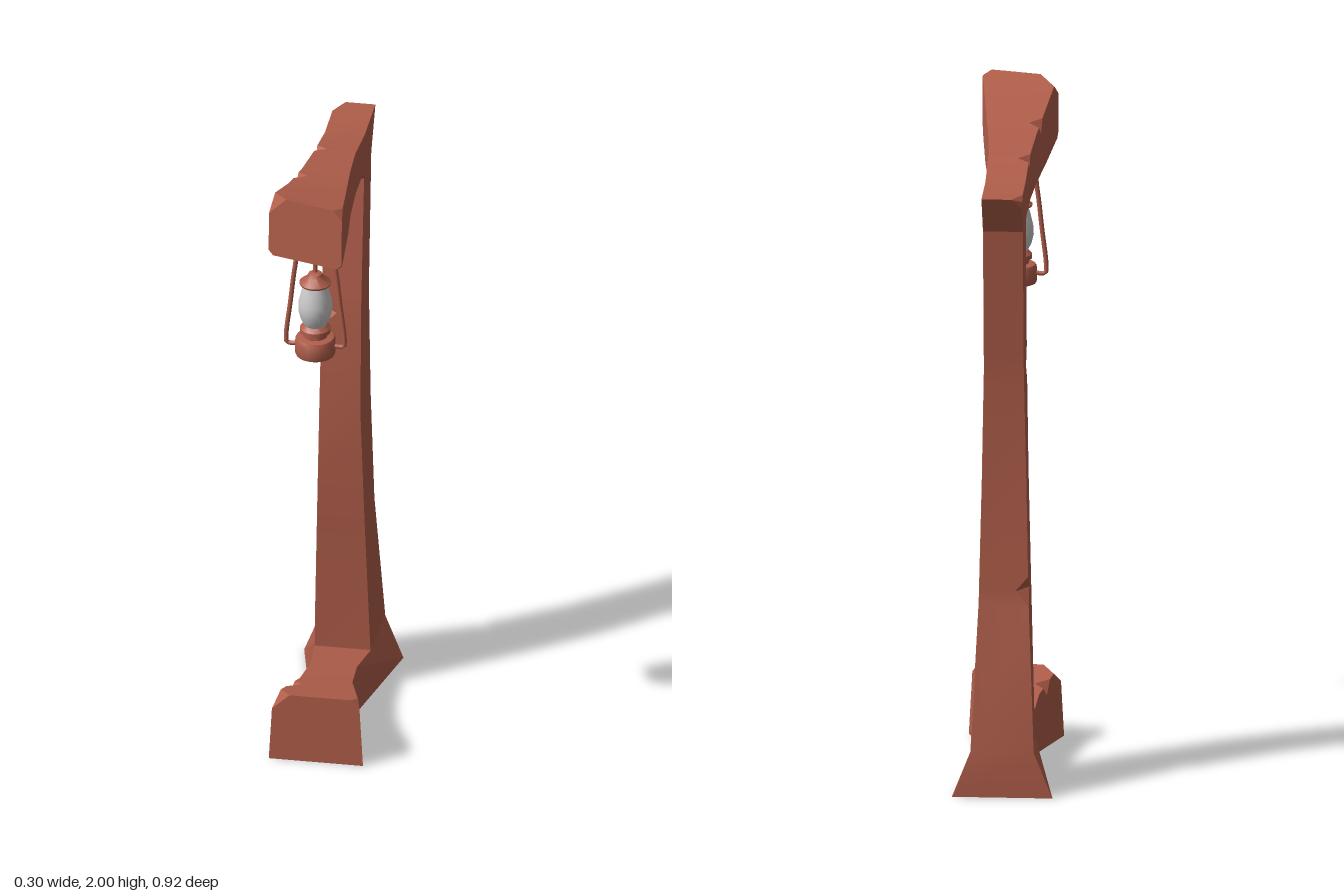
import * as THREE from 'three';
import { toCreasedNormals } from 'three/addons/utils/BufferGeometryUtils.js';

const wood = new THREE.MeshStandardMaterial({ color: 0xb05e4a });
const metal = new THREE.MeshStandardMaterial({ color: 0xb05e4a, side: THREE.DoubleSide });
const grey = new THREE.MeshStandardMaterial({ color: 0xcccccc });

// Cross-sections along the timber, foot tip -> post -> arm tip:
// inner z, y, half width, then outer z, y, half width
const sections = [
  [0.24, 0.22, 0.13, 0.24, 0, 0.142],
  [0.06, 0.18, 0.08, 0.06, 0, 0.078],
  [-0.08, 0.155, 0.07, -0.08, 0, 0.07],
  [-0.23, 0.13, 0.085, -0.43, 0, 0.15],
  [-0.23, 0.135, 0.085, -0.43, 0.14, 0.095],
  [-0.2, 0.6, 0.072, -0.355, 0.58, 0.075],
  [-0.185, 0.95, 0.063, -0.335, 0.95, 0.067],
  [-0.21, 1.28, 0.06, -0.345, 1.3, 0.06],
  [-0.265, 1.715, 0.06, -0.387, 1.74, 0.06],
  [-0.24, 1.745, 0.06, -0.46, 1.86, 0.06],
  [-0.22, 1.745, 0.06, -0.27, 1.86, 0.06],
  [-0.1, 1.755, 0.062, -0.1, 1.893, 0.062],
  [0.05, 1.765, 0.072, 0.05, 1.915, 0.072],
  [0.2, 1.78, 0.09, 0.2, 1.944, 0.088],
  [0.435, 1.81, 0.115, 0.42, 2, 0.115],
];

// Chips: position along the sections, reach, corner, depth
// (corners: 0 inner +x, 1 outer +x, 2 outer -x, 3 inner -x)
const chips = [
  [0, 0.3, 3, 0.05], [0, 0.15, 0, 0.025], [0.65, 0.16, 3, 0.035],
  [5.1, 0.12, 2, 0.04], [7, 0.14, 3, 0.045], [9, 0.3, 2, 0.03],
  [10.9, 0.16, 2, 0.035], [12.5, 0.2, 2, 0.035],
  [14, 0.3, 2, 0.055], [14, 0.15, 1, 0.03], [14, 0.1, 0, 0.015], [14, 0.1, 3, 0.015],
];

function ringAt(t) {
  const i = Math.min(Math.floor(t), sections.length - 2), f = t - i;
  const [zi, yi, wi, zo, yo, wo] = sections[i].map((v, k) => THREE.MathUtils.lerp(v, sections[i + 1][k], f));
  const skew = 0.27 * Math.max(0, t - 13); // slanted saw cut at the arm tip
  const corners = [[wi, yi, zi], [wo, yo, zo], [-wo, yo, zo], [-wi, yi, zi]]
    .map(([x, y, z]) => new THREE.Vector3(x, y, z + x * skew));
  const ring = [];
  corners.forEach((p, c) => {
    let cut = 0.001;
    for (const [ct, reach, corner, depth] of chips) {
      if (corner === c) cut = Math.max(cut, depth * (1 - Math.abs(t - ct) / reach));
    }
    for (const q of [corners[(c + 3) % 4], corners[(c + 1) % 4]]) {
      ring.push(p.clone().add(q.clone().sub(p).setLength(cut)));
    }
  });
  return ring;
}

function timberGeometry() {
  const stops = new Set(sections.map((_, i) => i));
  for (const [t, reach] of chips) [t - reach, t, t + reach].forEach((s) => stops.add(s));
  const rings = [...stops].filter((t) => t >= 0 && t <= sections.length - 1).sort((a, b) => a - b).map(ringAt);
  const n = 8, index = [], last = (rings.length - 1) * n;
  for (let r = 0; r < rings.length - 1; r++) {
    for (let j = 0; j < n; j++) {
      const a = r * n + j, b = r * n + (j + 1) % n;
      index.push(a, b, b + n, a, b + n, a + n);
    }
  }
  for (let j = 1; j < n - 1; j++) index.push(0, j + 1, j, last, last + j, last + j + 1);
  const geo = new THREE.BufferGeometry().setFromPoints(rings.flat());
  geo.setIndex(index);
  return toCreasedNormals(geo, 0.3);
}

function add(parent, name, geometry, material) {
  const mesh = new THREE.Mesh(geometry, material);
  mesh.name = name;
  parent.add(mesh);
  return mesh;
}

// Turned part from radius / height pairs
function turned(points, segments = 24) {
  const profile = points.map(([r, y]) => new THREE.Vector2(r, y));
  return toCreasedNormals(new THREE.LatheGeometry(profile, segments), 0.6);
}

function createLantern() {
  const lantern = new THREE.Group();
  lantern.name = 'lantern';

  add(lantern, 'fuelTank', turned([
    [0, 1.4], [0.058, 1.4], [0.06, 1.405], [0.06, 1.45], [0.056, 1.457], [0.042, 1.46], [0, 1.46],
  ]), metal);
  add(lantern, 'burner', turned([
    [0.036, 1.455], [0.036, 1.47], [0.046, 1.475], [0.046, 1.488], [0.034, 1.5], [0, 1.5],
  ]), metal);
  add(lantern, 'glass', turned([
    [0.03, 1.495], [0.044, 1.52], [0.051, 1.55], [0.05, 1.575], [0.042, 1.61], [0.032, 1.645],
  ]), grey);
  add(lantern, 'cap', turned([
    [0, 1.636], [0.046, 1.636], [0.048, 1.642], [0.026, 1.66], [0.02, 1.672], [0.009, 1.677], [0, 1.678],
  ]), metal);
  add(lantern, 'stem', new THREE.CylinderGeometry(0.007, 0.007, 0.08, 10), metal).position.y = 1.71;

  // Side rails, with a bar joining them over the cap
  for (const s of [-1, 1]) {
    const path = new THREE.CatmullRomCurve3([
      [0.05, 1.43], [0.085, 1.43], [0.088, 1.45], [0.075, 1.57], [0.061, 1.69], [0.052, 1.73], [0, 1.742],
    ].map(([x, y]) => new THREE.Vector3(s * x, y, 0)), false, 'centripetal');
    add(lantern, s > 0 ? 'leftRail' : 'rightRail', new THREE.TubeGeometry(path, 40, 0.007, 8), metal);
  }

  // Hook ring under the arm
  const ring = add(lantern, 'hookRing', new THREE.TorusGeometry(0.032, 0.007, 8, 24), metal);
  ring.rotation.y = Math.PI / 2;
  ring.position.y = 1.77;

  lantern.position.z = 0.25;
  return lantern;
}

export function createModel() {
  const model = new THREE.Group();
  model.name = 'lanternPost';
  add(model, 'timberPost', timberGeometry(), wood);
  model.add(createLantern());
  return model;
}
